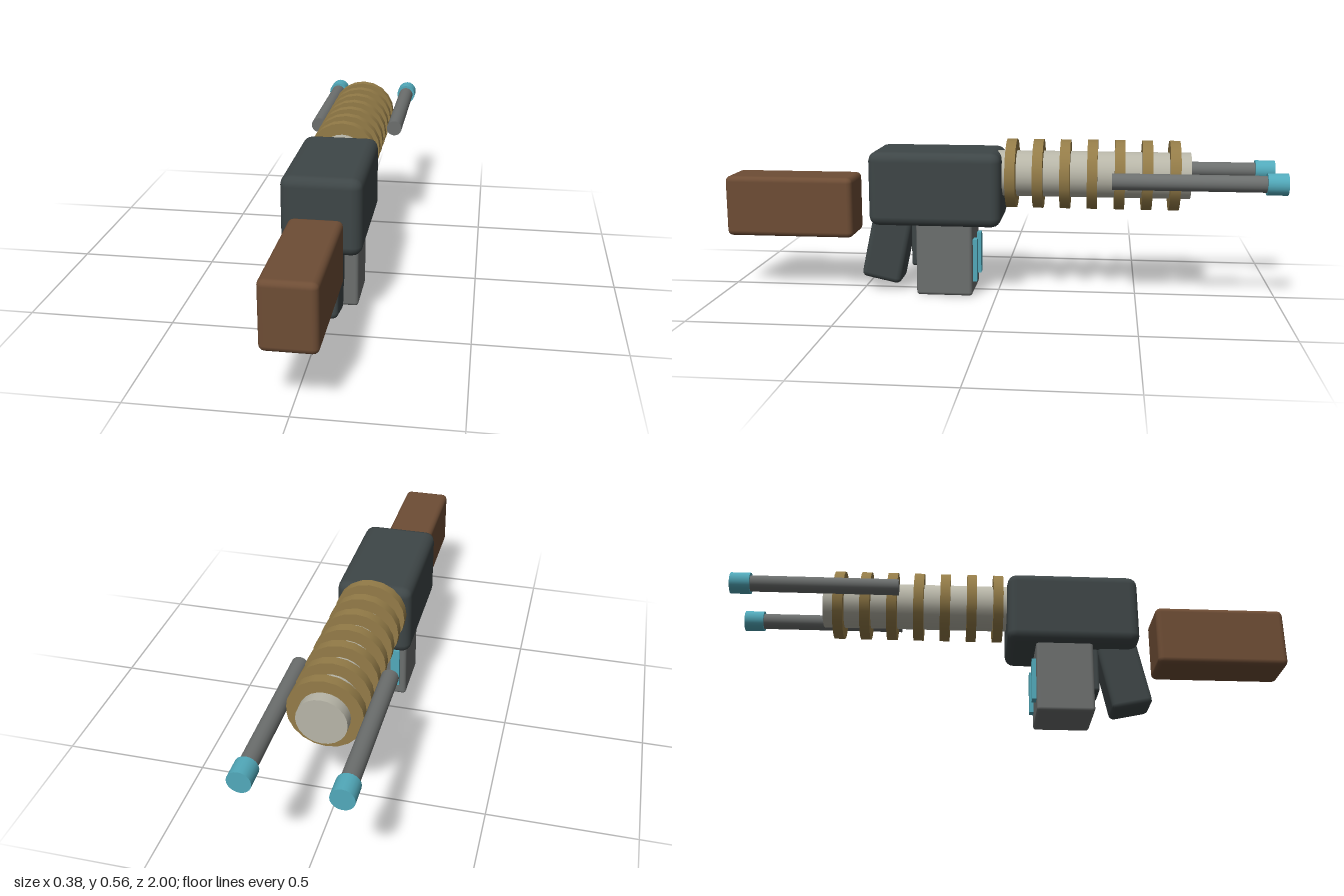
import * as THREE from 'three';
import { RoundedBoxGeometry } from 'three/addons/geometries/RoundedBoxGeometry.js';

const material = (name, color) => {
  const m = new THREE.MeshStandardMaterial({ color });
  m.name = name;
  return m;
};

export function createModel() {
  const dark = material('dark metal', 0x3e4647);
  const wood = material('brown wood', 0x6e4d35);
  const brass = material('brass', 0x947c48);
  const pale = material('pale metal', 0xb8b6a8);
  const grey = material('grey metal', 0x6c6f6e);
  const cyan = material('cyan glow', 0x52aabb);

  const model = new THREE.Group();
  model.name = 'coilRifle';

  const add = (name, geometry, mat, x, y, z) => {
    const mesh = new THREE.Mesh(geometry, mat);
    mesh.name = name;
    mesh.position.set(x, y, z);
    model.add(mesh);
    return mesh;
  };

  // Bevelled box centred on x = 0, given its y and z limits
  const block = (name, mat, width, y0, y1, z0, z1, bevel) =>
    add(name, new RoundedBoxGeometry(width, y1 - y0, z1 - z0, 2, bevel), mat, 0, (y0 + y1) / 2, (z0 + z1) / 2);

  // Cylinder lying along z
  const rod = (name, mat, radius, x, z0, z1, sides = 20) =>
    add(name, new THREE.CylinderGeometry(radius, radius, z1 - z0, sides).rotateX(Math.PI / 2), mat, x, 0.442, (z0 + z1) / 2);

  // Body
  block('stock', wood, 0.176, 0.203, 0.425, 0.527, 1, 0.02);
  block('receiver', dark, 0.27, 0.26, 0.528, -0.018, 0.458, 0.035);
  block('magazine', grey, 0.206, 0.003, 0.3, 0.086, 0.29, 0.012);
  block('trigger', dark, 0.11, 0.1, 0.3, 0.25, 0.315, 0.01);

  // Grip, leaning back towards the stock
  const grip = add('grip', new RoundedBoxGeometry(0.126, 0.3, 0.148, 2, 0.02), dark, 0, 0.189, 0.401);
  grip.rotation.x = -0.21;

  // Barrel with evenly spaced coil rings
  rod('barrel', pale, 0.083, 0, -0.685, 0.04, 24);
  for (let i = 0; i < 7; i++) {
    const z = -0.05 - i * 0.0963;
    rod('coilRing', brass, 0.125, 0, z - 0.018, z + 0.018);
  }

  // Mirrored side prongs and magazine light strips
  for (const side of [-1, 1]) {
    rod('prong', grey, 0.029, side * 0.151, -0.99, -0.408);
    rod('prongTip', cyan, 0.038, side * 0.151, -1, -0.93);
    add('lightStrip', new THREE.BoxGeometry(0.034, 0.155, 0.03), cyan, side * 0.063, 0.131, 0.086);
  }

  return model;
}
